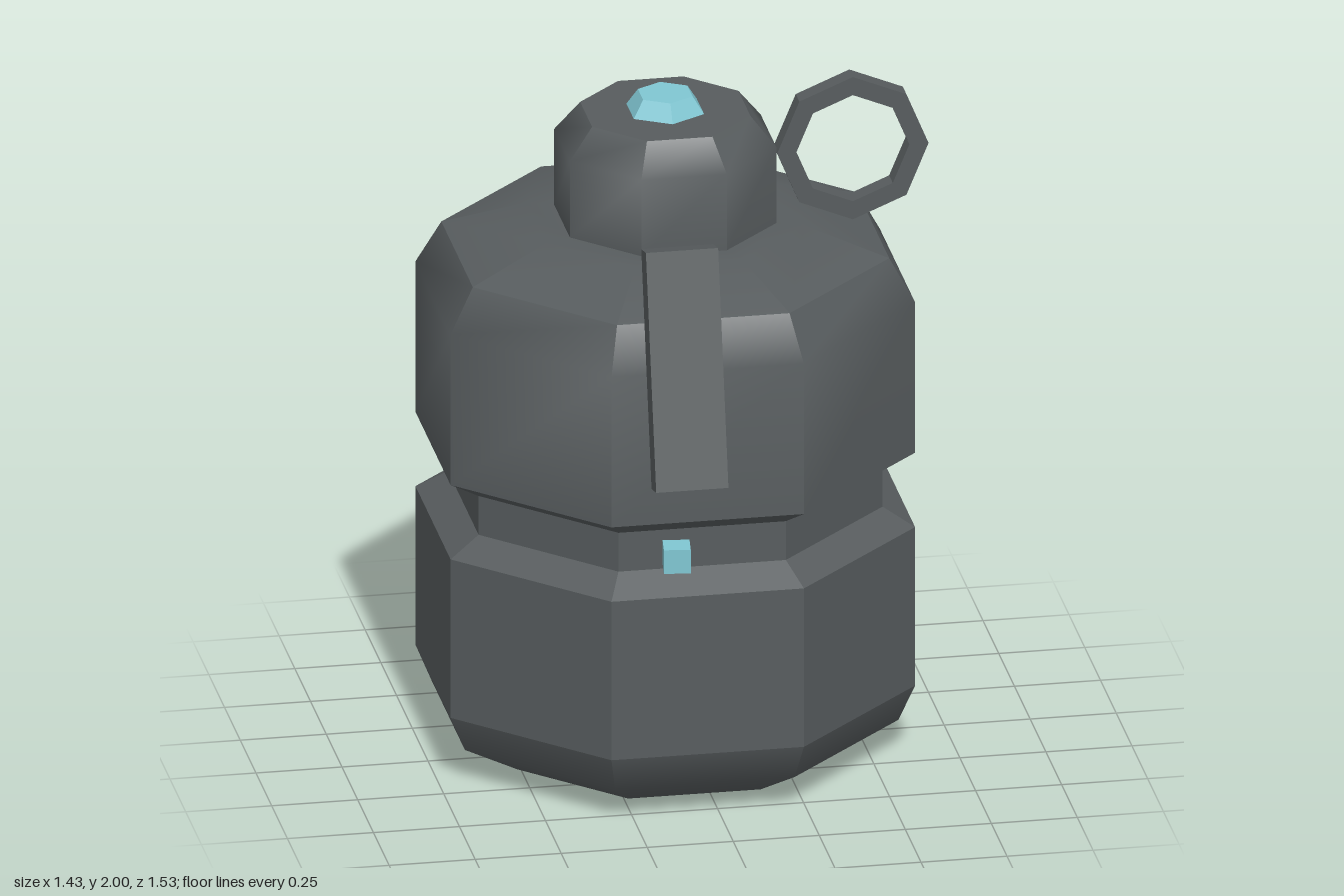
import * as THREE from 'three';

const CX = -0.045, CZ = -0.085; // axis of the body

// Eight-sided shell from a profile of [apothem, y, smooth], bottom to top.
// Smooth rings get blended normals, the others keep hard facets.
function octagonShell(profile) {
  const N = 8, step = (Math.PI * 2) / N, k = 1 / Math.cos(step / 2);
  const pos = [], nor = [];
  const slope = (i) => {
    const [r0, y0] = profile[i], [r1, y1] = profile[i + 1];
    return new THREE.Vector2(y1 - y0, r0 - r1).normalize();
  };
  for (let i = 0; i < profile.length - 1; i++) {
    const flat = slope(i);
    for (let j = 0; j < N; j++) {
      const mid = j * step;
      const put = (ring, side) => {
        const [r, y, smooth] = profile[ring];
        const a = mid + side * step / 2;
        pos.push(r * k * Math.sin(a), y, r * k * Math.cos(a));
        let n = flat, na = mid;
        if (smooth) {
          n = slope(ring - 1).add(slope(ring)).normalize();
          na = a;
        }
        nor.push(n.x * Math.sin(na), n.y, n.x * Math.cos(na));
      };
      if (profile[i][0] > 0) { put(i, -1); put(i, 1); put(i + 1, 1); }
      if (profile[i + 1][0] > 0) { put(i, -1); put(i + 1, 1); put(i + 1, -1); }
      else { put(i, -1); put(i, 1); put(i + 1, 0); pos.splice(-9); nor.splice(-9); }
    }
  }
  const g = new THREE.BufferGeometry();
  g.setAttribute('position', new THREE.Float32BufferAttribute(pos, 3));
  g.setAttribute('normal', new THREE.Float32BufferAttribute(nor, 3));
  return g;
}

function octagon(target, r) {
  const pts = [];
  for (let i = 0; i < 8; i++) {
    const a = i * Math.PI / 4;
    pts.push(new THREE.Vector2(r * Math.cos(a), r * Math.sin(a)));
  }
  return target.setFromPoints(pts);
}

export function createModel() {
  const model = new THREE.Group();
  model.name = 'grenade';
  const metal = new THREE.MeshStandardMaterial({ color: 0x575c5e });
  metal.name = 'dark grey metal';
  const glow = new THREE.MeshStandardMaterial({ color: 0x80c6d2 });
  glow.name = 'pale teal';

  const add = (name, geometry, material, x, y, z) => {
    const mesh = new THREE.Mesh(geometry, material);
    mesh.name = name;
    mesh.position.set(x, y, z);
    model.add(mesh);
    return mesh;
  };

  // Body shells stacked on the axis
  const shells = {
    lowerShell: [[0, 0], [0.465, 0, true], [0.63, 0.1, true], [0.675, 0.21], [0.675, 0.7], [0.587, 0.755]],
    groove: [[0.587, 0.755], [0.587, 0.875]],
    upperShell: [[0.587, 0.875], [0.675, 0.93], [0.675, 1.395, true], [0.605, 1.525], [0.375, 1.605, true], [0.3, 1.605]],
    neck: [[0.3, 1.605], [0.3, 1.84, true], [0.23, 1.93], [0, 1.93]],
  };
  for (const [name, profile] of Object.entries(shells)) {
    add(name, octagonShell(profile), metal, CX, 0, CZ);
  }

  // Six-sided button on top
  const button = new THREE.CylinderGeometry(0.083, 0.118, 0.05, 6).toNonIndexed();
  button.computeVertexNormals();
  add('button', button, glow, CX, 1.955, CZ);

  // Three lights around the groove
  for (let i = 0; i < 3; i++) {
    const a = THREE.MathUtils.degToRad(-7.5 + i * 120);
    const light = add('grooveLight', new THREE.BoxGeometry(0.077, 0.073, 0.077), glow,
      CX + 0.656 * Math.sin(a), 0.815, CZ + 0.656 * Math.cos(a));
    light.rotation.y = a;
  }

  // Tilted lever in front
  const lever = add('lever', new THREE.BoxGeometry(0.21, 0.695, 0.076), metal, -0.122, 1.43, 0.648);
  lever.rotation.x = -0.238;

  // Pull ring beside the neck
  const ring = octagon(new THREE.Shape(), 0.22);
  ring.holes.push(octagon(new THREE.Path(), 0.164));
  const ringGeometry = new THREE.ExtrudeGeometry(ring, { depth: 0.058, bevelEnabled: false });
  add('pullRing', ringGeometry, metal, 0.495, 1.78, CZ - 0.029);

  return model;
}
